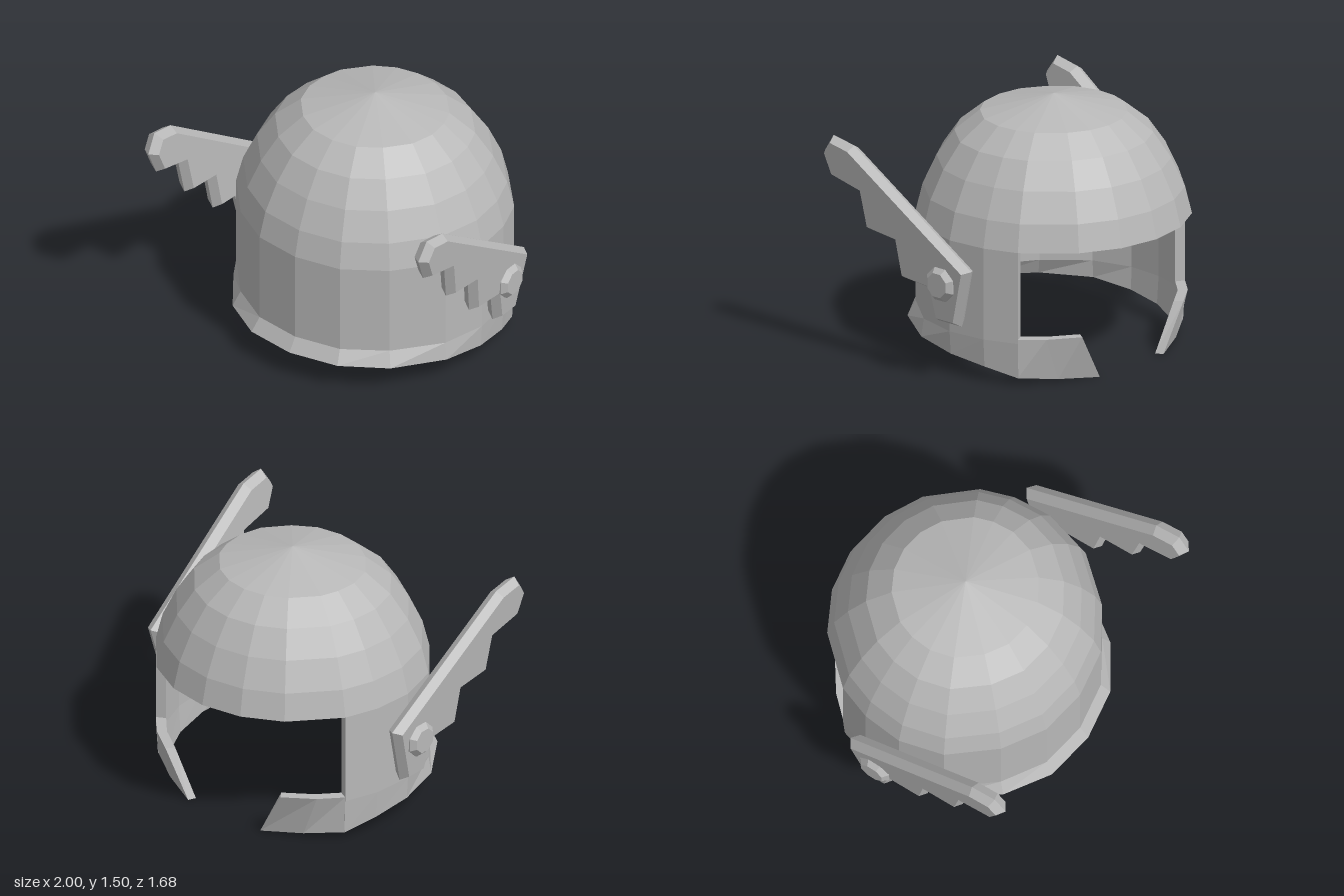
import * as THREE from 'three';

const steel = new THREE.MeshStandardMaterial({ color: 0xb8b8b8, flatShading: true });
steel.name = 'steel grey';

// Half of the helmet's plan outline [x, z], from the back (+z) round to the brow (-z)
const PLAN = [[0, 0.725], [0.28, 0.68], [0.52, 0.53], [0.73, 0.28], [0.8, 0.02],
  [0.78, -0.22], [0.71, -0.42], [0.48, -0.68], [0.25, -0.8], [0, -0.84]];
const CZ = -0.055;      // z of the dome's axis
const SPRING = 0.8;     // height where the dome meets the wall
const INSET = 0.925;    // inner skin relative to the outer skin

// Point on the plan at column c (negative columns are mirrored), scaled about the axis
function planPoint(c, y, scale) {
  const [x, z] = PLAN[Math.abs(c)];
  return new THREE.Vector3(Math.sign(c) * x * scale, y, CZ + (z - CZ) * scale);
}

function innerPoint(p) {
  const y = p.y > SPRING ? SPRING + (p.y - SPRING) * INSET : p.y;
  return new THREE.Vector3(p.x * INSET, y, CZ + (p.z - CZ) * INSET);
}

// Thick shell from a grid of outer points: rows run upward, columns anticlockwise from above
function shell(name, rows) {
  const inner = rows.map(row => row.map(innerPoint));
  const pos = [];
  const quad = (a, b, c, d) => {
    for (const p of [a, b, c, a, c, d]) pos.push(p.x, p.y, p.z);
  };
  const R = rows.length - 1, C = rows[0].length - 1;
  for (let r = 0; r < R; r++) {
    for (let c = 0; c < C; c++) {
      quad(rows[r][c], rows[r][c + 1], rows[r + 1][c + 1], rows[r + 1][c]);
      quad(inner[r][c + 1], inner[r][c], inner[r + 1][c], inner[r + 1][c + 1]);
    }
    // end edges
    quad(inner[r][0], rows[r][0], rows[r + 1][0], inner[r + 1][0]);
    quad(rows[r][C], inner[r][C], inner[r + 1][C], rows[r + 1][C]);
  }
  // lower and upper edges
  for (let c = 0; c < C; c++) {
    quad(inner[0][c], inner[0][c + 1], rows[0][c + 1], rows[0][c]);
    quad(rows[R][c], rows[R][c + 1], inner[R][c + 1], inner[R][c]);
  }
  const geo = new THREE.BufferGeometry();
  geo.setAttribute('position', new THREE.Float32BufferAttribute(pos, 3));
  geo.computeVertexNormals();
  const mesh = new THREE.Mesh(geo, steel);
  mesh.name = name;
  return mesh;
}

const columns = n => Array.from({ length: 2 * n + 1 }, (_, i) => i - n);

// Rounded crown with a shallow point
function makeDome() {
  const profile = [[SPRING, 1], [0.96, 0.95], [1.13, 0.85], [1.28, 0.72], [1.4, 0.535], [1.5, 0]];
  return shell('dome', profile.map(([y, s]) => columns(9).map(c => planPoint(c, y, s))));
}

// Side and back wall with a sloping, flared lower edge
function makeWall() {
  const hemY = [0.175, 0.175, 0.165, 0.15, 0.12, 0.09, 0.045];
  const hemScale = [1.07, 1.07, 1.06, 1.02, 0.99, 0.985, 0.985];
  const hem = columns(6).map(c => planPoint(c, hemY[Math.abs(c)], hemScale[Math.abs(c)]));
  const upper = [0.255, 0.53, SPRING].map(y => columns(6).map(c => planPoint(c, y, 1)));
  return shell('wall', [hem, ...upper]);
}

// Guard reaching forward under the face opening
function makeCheekGuard(s) {
  const rows = [
    [[0.7, 0.045, -0.41], [0.5, 0.02, -0.54], [0.27, 0, -0.65]],
    [[0.71, 0.28, -0.42], [0.6, 0.28, -0.54], [0.43, 0.28, -0.66]],
  ].map(row => {
    const pts = row.map(([x, y, z]) => new THREE.Vector3(s * x, y, z));
    return s > 0 ? pts : pts.reverse();
  });
  return shell(s > 0 ? 'leftCheekGuard' : 'rightCheekGuard', rows);
}

// Stepped wing with bevelled edges, leaning outward, held by an octagonal stud
function makeWing(s) {
  const group = new THREE.Group();
  group.name = s > 0 ? 'leftWing' : 'rightWing';

  const outline = [[0.77, 1.3], [0.615, 1.27], [-0.24, 0.695], [-0.145, 0.34], [0.03, 0.34],
    [0.07, 0.525], [0.28, 0.545], [0.315, 0.76], [0.53, 0.785], [0.57, 1.0], [0.78, 1.05], [0.84, 1.195]];
  const shape = new THREE.Shape(outline.map(([z, y]) => new THREE.Vector2(-z, y)));
  const geo = new THREE.ExtrudeGeometry(shape, {
    depth: 0.002, bevelEnabled: true, bevelSegments: 1,
    bevelThickness: 0.049, bevelSize: 0.03, bevelOffset: -0.03,
  });
  geo.translate(0, 0, -0.001).rotateY(Math.PI / 2);
  const p = geo.attributes.position;
  for (let i = 0; i < p.count; i++) {
    p.setX(i, p.getX(i) + s * (0.88 + 0.073 * (p.getY(i) - 0.34)));
  }
  geo.computeVertexNormals();
  const feather = new THREE.Mesh(geo, steel);
  feather.name = 'wingPlate';

  const profile = [[0.105, 0], [0.105, 0.055], [0.075, 0.085], [0, 0.085]]
    .map(([r, y]) => new THREE.Vector2(r, y));
  const stud = new THREE.Mesh(new THREE.LatheGeometry(profile, 8, Math.PI / 8), steel);
  stud.name = 'stud';
  stud.rotation.z = -s * Math.PI / 2;
  stud.position.set(s * 0.9, 0.59, -0.045);

  group.add(feather, stud);
  return group;
}

export function createModel() {
  const helmet = new THREE.Group();
  helmet.name = 'wingedHelmet';
  helmet.add(makeDome(), makeWall());
  for (const s of [1, -1]) helmet.add(makeCheekGuard(s), makeWing(s));
  return helmet;
}
